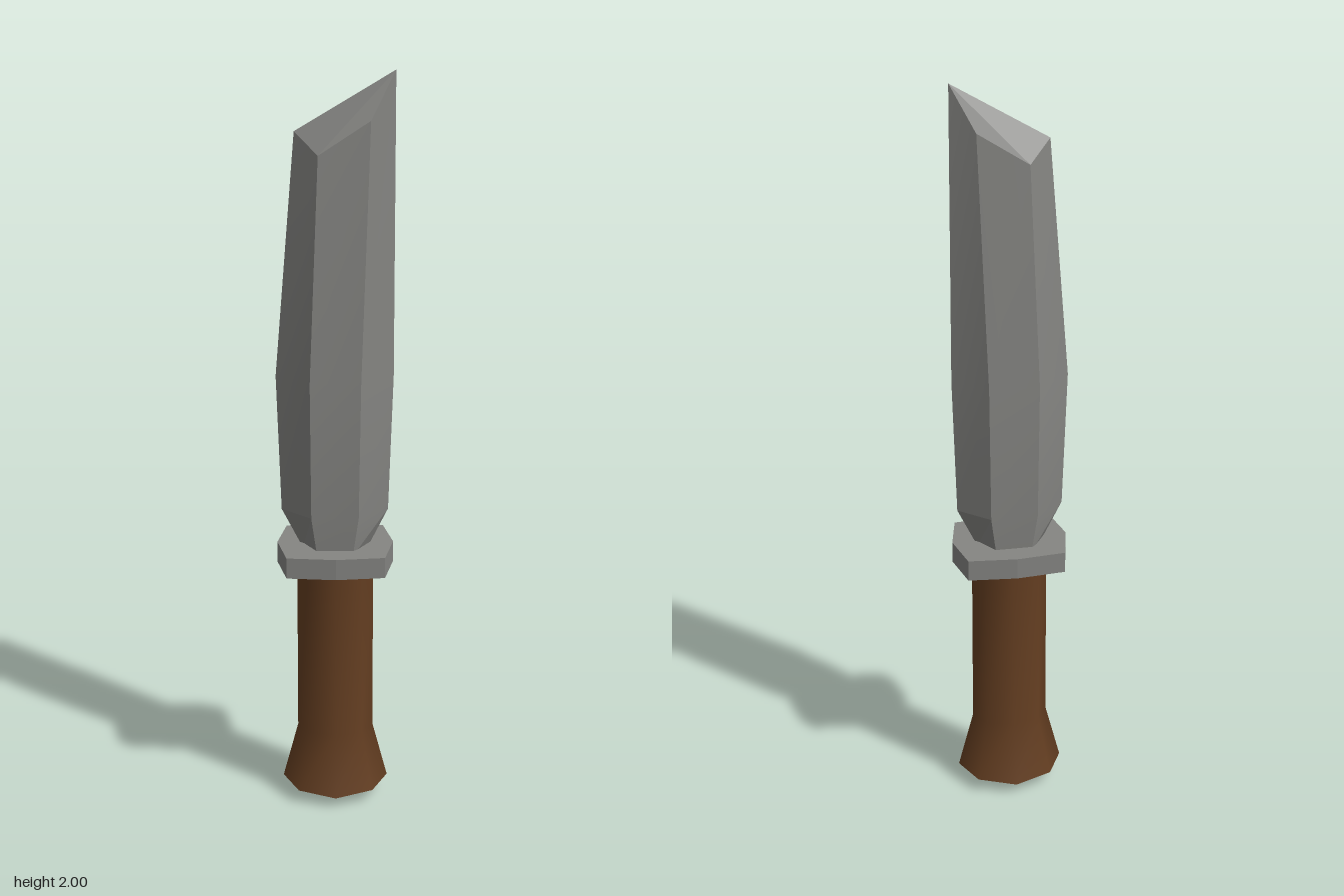
import * as THREE from 'three';
import { toCreasedNormals } from 'three/addons/utils/BufferGeometryUtils.js';

// Joins rings of equal point count (listed bottom to top, turning from +x to +z).
function loft(rings, extraFaces = []) {
  const n = rings[0].length;
  const index = [];
  for (let r = 0; r < rings.length - 1; r++) {
    for (let i = 0; i < n; i++) {
      const a = r * n + i;
      const b = r * n + (i + 1) % n;
      index.push(a, a + n, b, b, a + n, b + n);
    }
  }
  index.push(...extraFaces);
  const geometry = new THREE.BufferGeometry();
  geometry.setAttribute('position', new THREE.Float32BufferAttribute(rings.flat(2), 3));
  geometry.setIndex(index);
  geometry.computeVertexNormals();
  return geometry;
}

// Eight-sided oval ring; yx and yz are its heights on the x and z axes.
function oval(rx, rz, yx, yz = yx) {
  return Array.from({ length: 8 }, (_, i) => {
    const c = Math.cos(i * Math.PI / 4);
    const s = Math.sin(i * Math.PI / 4);
    return [rx * c, yx * c * c + yz * s * s, rz * s];
  });
}

// Six-sided blade section: two cutting edges on z = 0 and a ridge pair per side.
function bladeSection(right, ridgeRight, ridgeLeft, left) {
  const flip = ([x, y, z]) => [x, y, -z];
  return [right, ridgeRight, ridgeLeft, left, flip(ridgeLeft), flip(ridgeRight)];
}

export function createModel() {
  const steel = new THREE.MeshStandardMaterial({ color: 0x858582 });
  steel.name = 'steel grey';
  const wood = new THREE.MeshStandardMaterial({ color: 0x643e21 });
  wood.name = 'wood brown';

  const knife = new THREE.Group();
  knife.name = 'knife';
  const add = (name, geometry, material, parent = knife) => {
    const mesh = new THREE.Mesh(geometry, material);
    mesh.name = name;
    parent.add(mesh);
    return mesh;
  };

  // Blade with a slanted, bevelled end
  const sections = [
    bladeSection([0.085, 0.72, 0], [0.045, 0.72, 0.06], [-0.048, 0.72, 0.06], [-0.085, 0.72, 0]),
    bladeSection([0.138, 0.83, 0], [0.06, 0.83, 0.068], [-0.063, 0.83, 0.068], [-0.14, 0.83, 0]),
    bladeSection([0.15, 1.2, 0], [0.065, 1.2, 0.072], [-0.066, 1.2, 0.072], [-0.153, 1.2, 0]),
    bladeSection([0.15, 2, 0], [0.088, 1.88, 0.035], [-0.044, 1.795, 0.048], [-0.103, 1.845, 0]),
  ];
  const t = 18;
  const tipFaces = [0, 3, 2, 0, 2, 1, 0, 5, 4, 0, 4, 3].map((i) => i + t);
  add('blade', toCreasedNormals(loft(sections, tipFaces), 0.2), steel);

  // Eight-cornered guard plate
  const plate = new THREE.Shape([
    [0.152, 0], [0.128, 0.108], [0, 0.12], [-0.128, 0.108],
    [-0.152, 0], [-0.128, -0.108], [0, -0.12], [0.128, -0.108],
  ].map(([x, y]) => new THREE.Vector2(x, y)));
  const guard = new THREE.ExtrudeGeometry(plate, { depth: 0.057, bevelEnabled: false });
  guard.rotateX(-Math.PI / 2).translate(0, 0.679, 0);
  add('guard', guard, steel);

  // Oval grip that flares towards a shallow domed pommel
  const handle = new THREE.Group();
  handle.name = 'handle';
  knife.add(handle);
  const rim = oval(0.14, 0.11, 0.045, 0.03);
  add('grip', loft([rim, oval(0.1, 0.071, 0.2), oval(0.1, 0.067, 0.69)]), wood, handle);
  add('pommelCap', loft([oval(0, 0, 0), oval(0.098, 0.075, 0.018), rim]), wood, handle);

  return knife;
}
